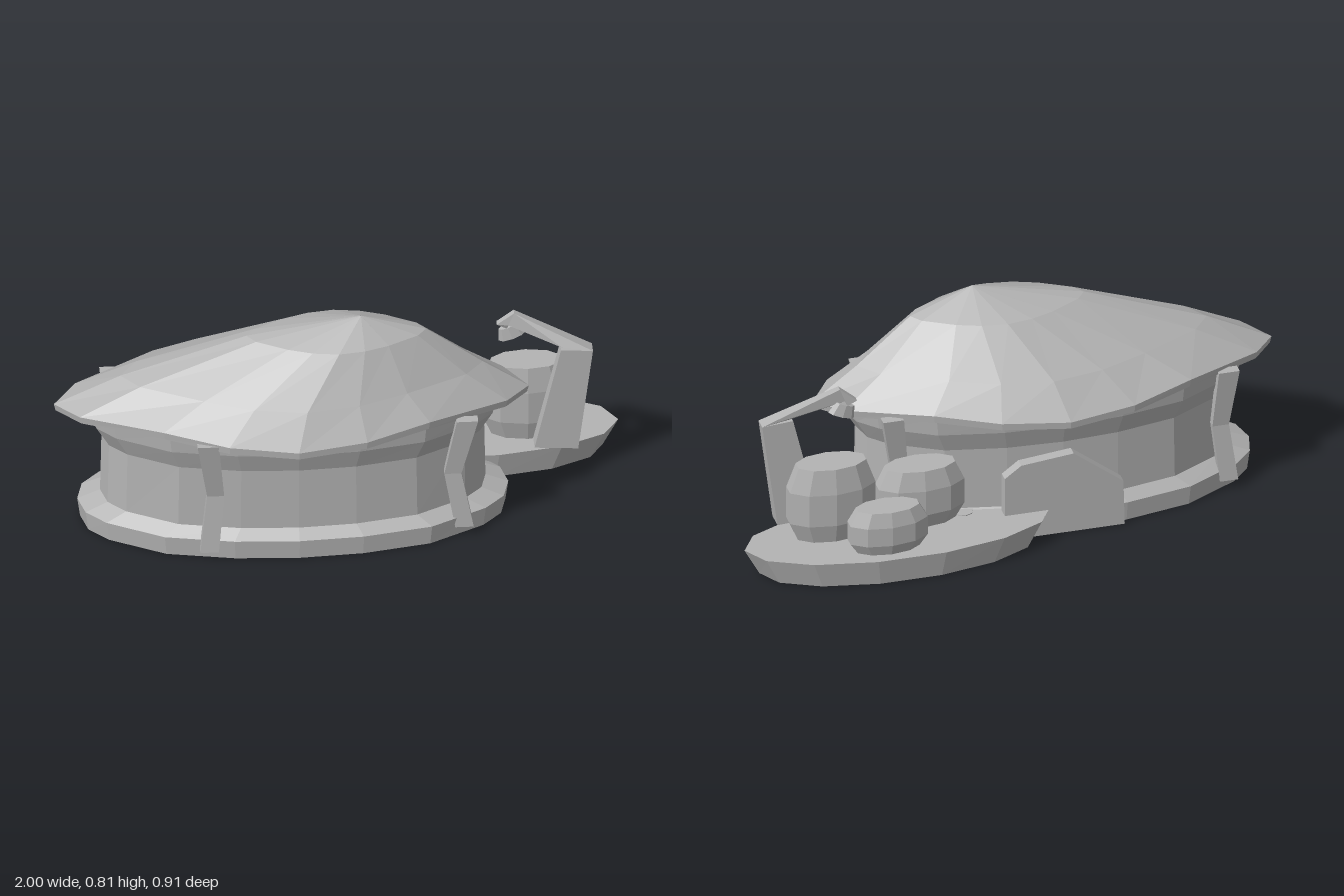
import * as THREE from 'three';

const grey = new THREE.MeshStandardMaterial({ color: 0xb4b4b4, flatShading: true, side: THREE.DoubleSide });
grey.name = 'plain grey';

// Skin a list of rings (each a list of Vector3, listed bottom to top), with optional flat end caps
function loft(rings, capBottom = false, capTop = false) {
  const n = rings[0].length, pos = [], index = [];
  rings.forEach(r => r.forEach(p => pos.push(p.x, p.y, p.z)));
  for (let i = 0; i < rings.length - 1; i++) {
    for (let j = 0; j < n; j++) {
      const a = i * n + j, b = i * n + (j + 1) % n;
      index.push(a, a + n, b, b, a + n, b + n);
    }
  }
  const top = (rings.length - 1) * n;
  for (let j = 1; j < n - 1; j++) {
    if (capBottom) index.push(0, j, j + 1);
    if (capTop) index.push(top, top + j + 1, top + j);
  }
  const g = new THREE.BufferGeometry();
  g.setAttribute('position', new THREE.Float32BufferAttribute(pos, 3));
  g.setIndex(index);
  const flat = g.toNonIndexed();
  flat.computeVertexNormals();
  return flat;
}

// Mirror a quarter outline, running from (1, 0) to (0, 1), into a closed plan
function mirrorPlan(quarter) {
  const back = quarter.slice(1, -1).reverse();
  return [
    ...quarter,
    ...back.map(([x, z]) => [-x, z]),
    ...quarter.map(([x, z]) => [-x, -z]),
    ...back.map(([x, z]) => [x, -z]),
  ];
}
const roofPlan = mirrorPlan([[1, 0], [0.9, 0.29], [0.56, 0.7], [0.29, 0.91], [0, 1]]); // pointed leaf
const wallPlan = mirrorPlan([[1, 0], [0.97, 0.28], [0.88, 0.5], [0.62, 0.82], [0.3, 0.96], [0, 1]]); // blunt oval

function planRing(plan, cx, cz, hx, hz, y, wave = 0) {
  return plan.map(([x, z]) => {
    const s = Math.sin(2 * Math.atan2(z, x));
    return new THREE.Vector3(cx + x * hx, y + wave * s * s, cz + z * hz);
  });
}

// Bent beam with level sections: each joint is [x, y, z, width, depth]
function beam(joints) {
  const corners = [[1, 1], [-1, 1], [-1, -1], [1, -1]];
  return loft(joints.map(([x, y, z, w, d]) =>
    corners.map(([u, v]) => new THREE.Vector3(x + u * w / 2, y, z + v * d / 2))), true, true);
}

export function createModel() {
  const model = new THREE.Group();
  model.name = 'hut';
  const add = (name, geometry, parent = model) => {
    const m = new THREE.Mesh(geometry, grey);
    m.name = name;
    parent.add(m);
    return m;
  };

  // Hut: open plinth, wall flaring up to the eaves, pointed roof with a wavy rim
  const wallRing = (hx, hz, y, wave) => planRing(wallPlan, -0.165, 0.07, hx, hz, y, wave);
  add('plinth', loft([
    wallRing(0.745, 0.33, 0),
    wallRing(0.755, 0.335, 0.072),
    wallRing(0.675, 0.298, 0.105),
  ]));
  add('wall', loft([
    wallRing(0.675, 0.298, 0.105),
    wallRing(0.67, 0.295, 0.34),
    wallRing(0.715, 0.317, 0.415),
    wallRing(0.725, 0.32, 0.452, 0.035),
  ]));
  const roofRing = (...args) => planRing(roofPlan, ...args);
  add('roof', loft([
    roofRing(-0.17, 0.07, 0.826, 0.38, 0.441, 0.034),
    roofRing(-0.17, 0.07, 0.832, 0.381, 0.466, 0.036),
    roofRing(-0.135, 0.08, 0.635, 0.29, 0.58, 0.01),
    roofRing(-0.015, 0.1, 0.315, 0.145, 0.738),
    roofRing(0.07, 0.12, 0.001, 0.001, 0.815),
  ]));

  // Crooked posts: top, middle and foot in plan
  const posts = {
    frontLeftPost: [[0.43, 0.285], [0.38, 0.27], [0.42, 0.28]],
    frontRightPost: [[-0.485, 0.385], [-0.457, 0.355], [-0.48, 0.38]],
    backLeftPost: [[0.43, -0.135], [0.4, -0.115], [0.43, -0.125]],
    backRightPost: [[-0.79, -0.125], [-0.765, -0.105], [-0.79, -0.125]],
  };
  for (const [name, [t, m, f]] of Object.entries(posts)) {
    add(name, beam([
      [f[0], 0.035, f[1], 0.065, 0.036],
      [m[0], 0.25, m[1], 0.06, 0.03],
      [t[0], 0.475, t[1], 0.075, 0.038],
    ]));
  }

  // Arched door slab on the back
  const arch = new THREE.Shape([[-0.375, 0], [0.06, 0], [0.06, 0.25], [0, 0.295], [-0.19, 0.315], [-0.37, 0.175]]
    .map(([x, y]) => new THREE.Vector2(x, y)));
  add('door', new THREE.ExtrudeGeometry(arch, { depth: 0.04, bevelEnabled: false })).position.z = -0.272;

  // Oval platform, open underneath
  const oval = (hx, hz, y) => Array.from({ length: 14 }, (_, i) => {
    const a = i * Math.PI / 7;
    return new THREE.Vector3(0.445 + hx * Math.cos(a), y, -0.255 + hz * Math.sin(a));
  });
  add('platform', loft([oval(0.5, 0.188, 0), oval(0.554, 0.206, 0.1)], false, true));
  add('platformPeg', new THREE.CylinderGeometry(0.035, 0.035, 0.05, 8)).position.set(0.19, 0.078, -0.2);

  // Oval jars standing on the platform
  const profile = [[0, 0], [0.8, 0], [1, 0.25], [1, 0.68], [0.79, 1], [0, 1]].map(p => new THREE.Vector2(...p));
  const jars = [
    ['smallJar', 0.51, -0.362, 0.147, 0.069, 0.167],
    ['tallJar', 0.675, -0.216, 0.163, 0.081, 0.29],
    ['middleJar', 0.35, -0.208, 0.163, 0.078, 0.225],
  ];
  for (const [name, x, z, rx, rz, h] of jars) {
    const jar = add(name, new THREE.LatheGeometry(profile, 10));
    jar.scale.set(rx, h, rz);
    jar.position.set(x, 0.1, z);
  }

  // Lamp post: tapered leaning post, arm and hanging lamp
  const lamp = new THREE.Group();
  lamp.name = 'lampPost';
  model.add(lamp);
  const quad = (outer, inner, z0, z1) => [[outer, z0], [inner, z0], [inner, z1], [outer, z1]]
    .map(([p, z]) => new THREE.Vector3(p[0], p[1], z));
  add('post', loft([
    quad([0.845, 0.108], [0.692, 0.118], -0.065, -0.132),
    quad([0.897, 0.507], [0.785, 0.515], -0.07, -0.12),
  ], true, true), lamp);
  add('arm', loft([
    quad([0.897, 0.507], [0.79, 0.525], -0.07, -0.12),
    quad([0.625, 0.637], [0.605, 0.588], -0.13, -0.155),
    quad([0.565, 0.588], [0.6, 0.57], -0.138, -0.162),
  ], true, true), lamp);
  const shade = add('lampShade', new THREE.CylinderGeometry(0.035, 0.05, 0.045, 8), lamp);
  shade.scale.z = 0.45;
  shade.rotation.z = 0.35;
  shade.position.set(0.612, 0.553, -0.15);

  return model;
}
